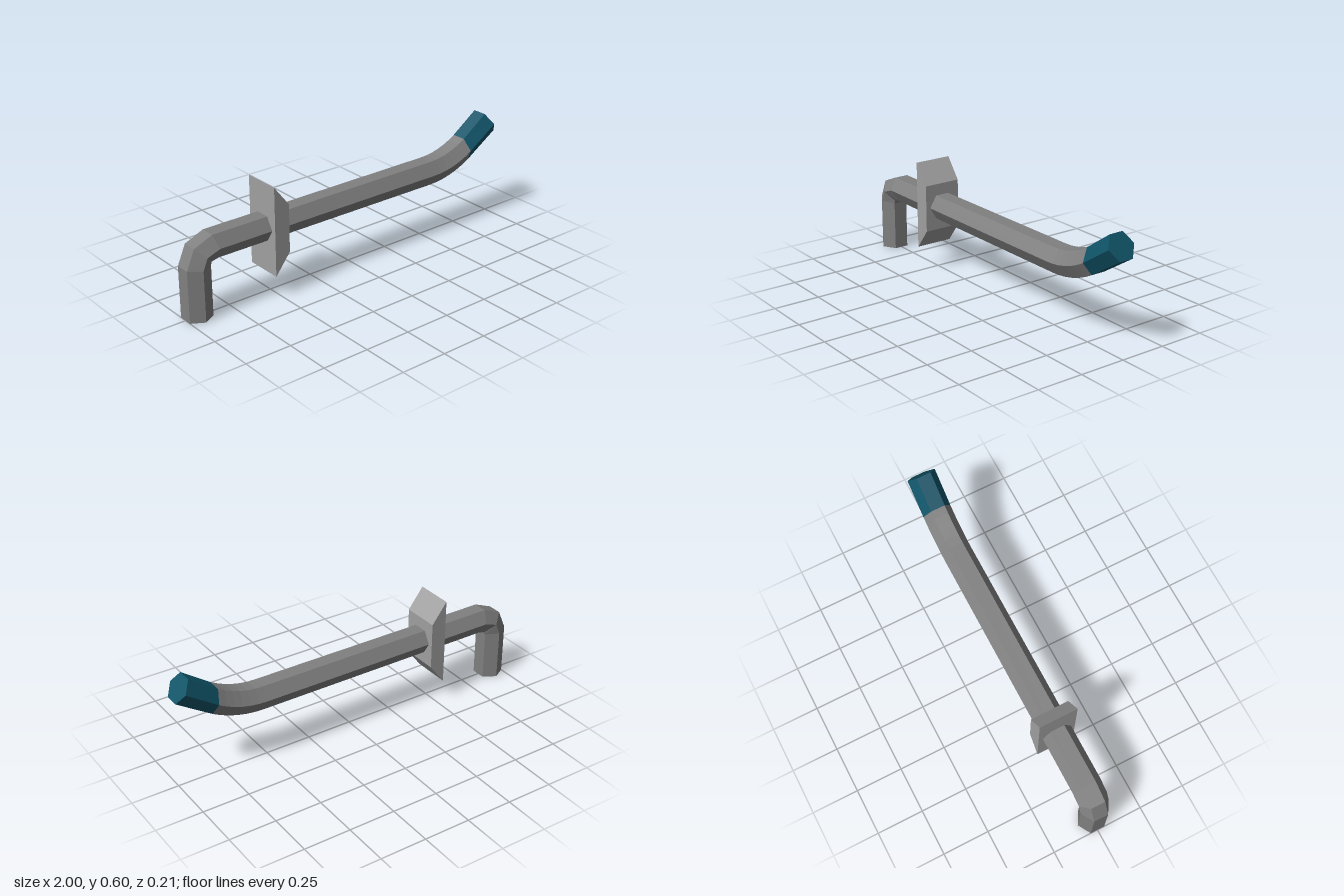
import * as THREE from 'three';

const material = (name, color) => {
  const m = new THREE.MeshStandardMaterial({ color });
  m.name = name;
  return m;
};

// Hexagon corners: s along the ring's half-height vector, z across
const HEX = [[1, 0.039], [0, 0.078], [-1, 0.039], [-1, -0.039], [0, -0.078], [1, -0.039]];

// Faceted hexagonal bar through rings of [centreX, centreY, halfX, halfY]
function hexBar(rings, capStart, capEnd) {
  const loops = rings.map(([x, y, hx, hy]) => HEX.map(([s, z]) => [x + s * hx, y + s * hy, z]));
  const pos = [];
  const tri = (a, b, c) => pos.push(...a, ...b, ...c);
  for (let i = 0; i < loops.length - 1; i++) {
    for (let j = 0; j < 6; j++) {
      const k = (j + 1) % 6;
      const a = loops[i][j], b = loops[i][k], c = loops[i + 1][k], d = loops[i + 1][j];
      tri(a, b, c);
      tri(a, c, d);
    }
  }
  const first = loops[0], last = loops[loops.length - 1];
  for (let j = 1; j < 5; j++) {
    if (capStart) tri(first[0], first[j + 1], first[j]);
    if (capEnd) tri(last[0], last[j], last[j + 1]);
  }
  const g = new THREE.BufferGeometry();
  g.setAttribute('position', new THREE.Float32BufferAttribute(pos, 3));
  g.computeVertexNormals();
  return g;
}

export function createModel() {
  const group = new THREE.Group();
  const add = (name, geometry, mat) => {
    const mesh = new THREE.Mesh(geometry, mat);
    mesh.name = name;
    group.add(mesh);
  };

  // Upright leg, tight elbow and long straight shaft
  const rings = [
    [-0.933, 0, -0.067, 0],
    [-0.933, 0.273, -0.067, 0.004],
    [-0.908, 0.334, -0.047, 0.047],
    [-0.836, 0.36, -0.016, 0.064],
  ];

  // Gentle upward bend towards the tip
  const steps = 6, radius = 0.506, sweep = 0.543, tilt = 0.29;
  for (let i = 0; i <= steps; i++) {
    const t = i / steps, a = sweep * t, b = tilt * t;
    rings.push([
      0.53 + radius * Math.sin(a), 0.36 + radius * (1 - Math.cos(a)),
      -0.066 * Math.sin(b), 0.066 * Math.cos(b),
    ]);
  }
  add('bentBar', hexBar(rings, true, false), material('steel grey', 0x808080));

  // Coloured tip
  const tip = [rings[rings.length - 1], [0.961, 0.547, -0.037, 0.056]];
  add('tip', hexBar(tip, false, true), material('deep teal', 0x105468));

  // Bevelled guard block around the shaft
  const outline = new THREE.Shape([
    new THREE.Vector2(-0.535, 0.122), new THREE.Vector2(-0.45, 0.233),
    new THREE.Vector2(-0.45, 0.487), new THREE.Vector2(-0.535, 0.598),
  ]);
  const guard = new THREE.ExtrudeGeometry(outline, { depth: 0.206, bevelEnabled: false });
  guard.translate(0, 0, -0.103);
  add('guard', guard, material('light grey', 0xa0a0a0));

  return group;
}
